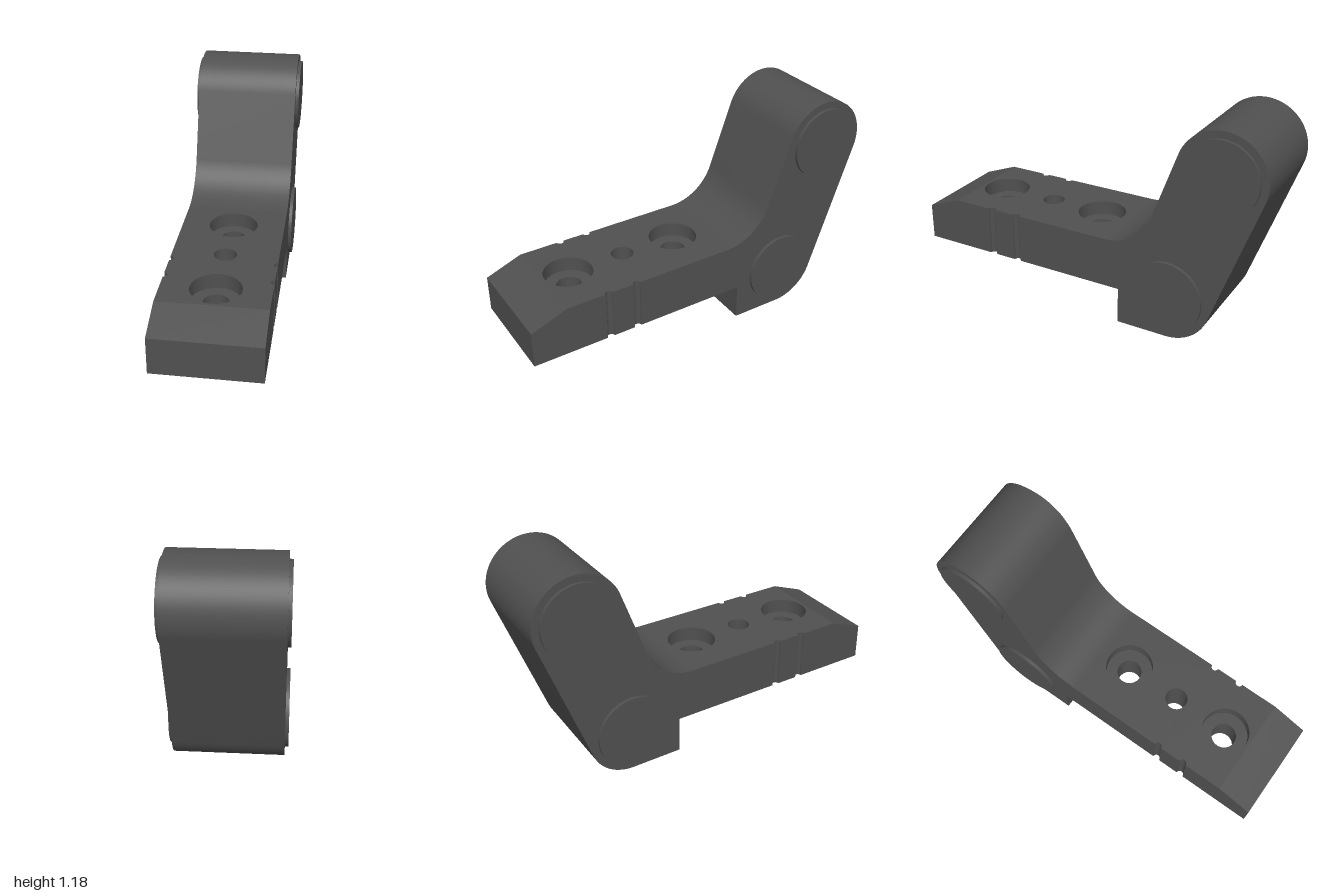
import * as THREE from 'three';
import { toCreasedNormals } from 'three/addons/utils/BufferGeometryUtils.js';

const W = 0.277;               // half width of the body
const BAR_TOP = 0.475, BAR_BOTTOM = 0.2, BORE_FLOOR = 0.395;
const BACK = -0.125, SLOPE = 0.805; // ends of the drilled section along z
const UPPER = { z: -0.765, y: 0.95, r: 0.235 };
const LOWER = { z: -0.505, y: 0.24, r: 0.24 };

const extrude = (shape, depth) =>
  new THREE.ExtrudeGeometry(shape, { depth, bevelEnabled: false, curveSegments: 28 });

// Side profile drawn in (z, y), extruded across the width
function sideProfile(shape) {
  const g = extrude(shape, 2 * W);
  g.translate(0, 0, -W);
  g.rotateY(-Math.PI / 2);
  return toCreasedNormals(g, 0.5);
}

// Plan of the bar drawn in (x, z): grooved sides and round holes
function barLayer(top, bottom, holes) {
  const s = new THREE.Shape();
  const r = 0.02, h = Math.PI / 2, grooves = [0.41, 0.57];
  s.moveTo(-W, BACK);
  s.lineTo(W, BACK);
  for (const z of grooves) {
    s.lineTo(W, z - r);
    s.absarc(W, z, r, -h, h, true);
  }
  s.lineTo(W, SLOPE);
  s.lineTo(-W, SLOPE);
  for (const z of [...grooves].reverse()) {
    s.lineTo(-W, z + r);
    s.absarc(-W, z, r, h, -h, true);
  }
  s.closePath();
  for (const [z, radius] of holes) {
    s.holes.push(new THREE.Path().absarc(0, z, radius, 0, Math.PI * 2, true));
  }
  const g = extrude(s, top - bottom);
  g.rotateX(Math.PI / 2);
  g.translate(0, top, 0);
  return toCreasedNormals(g, 0.5);
}

export function createModel() {
  const group = new THREE.Group();
  group.name = 'hingeBracket';
  const darkGrey = new THREE.MeshStandardMaterial({ color: 0x505050 });
  darkGrey.name = 'darkGrey';

  const add = (name, geometry) => {
    const mesh = new THREE.Mesh(geometry, darkGrey);
    mesh.name = name;
    group.add(mesh);
    return mesh;
  };

  // Leaning arm with rounded ends, heel block and fillet into the bar
  const tilt = Math.atan2(UPPER.y - LOWER.y, UPPER.z - LOWER.z) - Math.PI / 2;
  const filletR = 0.282, filletZ = -0.143;
  const arm = new THREE.Shape();
  arm.moveTo(UPPER.z + UPPER.r * Math.cos(tilt), UPPER.y + UPPER.r * Math.sin(tilt));
  arm.absarc(UPPER.z, UPPER.y, UPPER.r, tilt, Math.PI + tilt, false);
  arm.absarc(LOWER.z, LOWER.y, LOWER.r, Math.PI + tilt, Math.PI * 1.5, false);
  arm.lineTo(-0.225, 0);
  arm.lineTo(-0.225, BAR_BOTTOM);
  arm.lineTo(BACK, BAR_BOTTOM);
  arm.lineTo(BACK, BAR_TOP);
  arm.absarc(filletZ, BAR_TOP + filletR, filletR, -Math.PI / 2, -Math.PI + tilt, true);
  arm.closePath();
  add('arm', sideProfile(arm));

  // Drilled bar: wide counterbores above, narrow through holes below
  add('barUpper', barLayer(BAR_TOP, BORE_FLOOR, [[0.025, 0.13], [0.34, 0.06], [0.66, 0.13]]));
  add('barLower', barLayer(BORE_FLOOR, BAR_BOTTOM, [[0.025, 0.067], [0.34, 0.06], [0.66, 0.067]]));

  // Sloped front tip
  const tip = new THREE.Shape();
  tip.moveTo(SLOPE, BAR_BOTTOM);
  tip.lineTo(1, BAR_BOTTOM);
  tip.lineTo(1, 0.4);
  tip.lineTo(SLOPE, BAR_TOP);
  tip.closePath();
  add('barTip', sideProfile(tip));

  // Raised round pin caps on both sides
  for (const [name, end] of [['upperPin', UPPER], ['lowerPin', LOWER]]) {
    for (const side of [1, -1]) {
      const cap = new THREE.CylinderGeometry(0.197, 0.197, 0.04, 48);
      cap.rotateZ(Math.PI / 2);
      add(name + (side > 0 ? 'CapLeft' : 'CapRight'), cap)
        .position.set(side * 0.275, end.y, end.z);
    }
  }
  return group;
}
